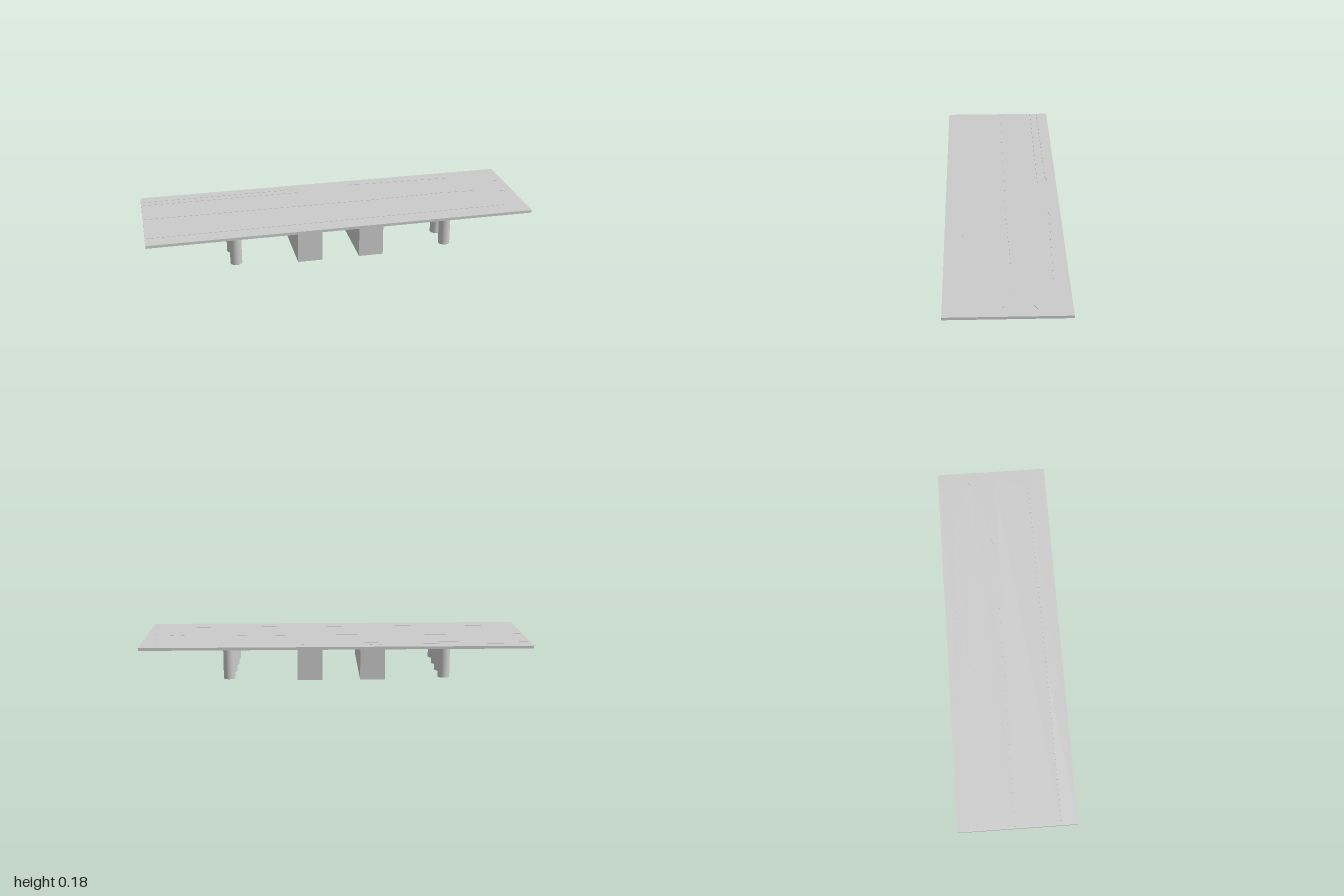
import * as THREE from 'three';

const TOP = 0.178, UNDER = 0.164, GROOVE = 0.004;
const HALF_DEPTH = 0.298;

export function createModel() {
  const group = new THREE.Group();
  const mat = new THREE.MeshStandardMaterial({ color: 0xcccccc });
  const add = (name, geometry, x, y, z) => {
    const mesh = new THREE.Mesh(geometry, mat);
    mesh.name = name;
    mesh.position.set(x, y, z);
    group.add(mesh);
  };

  // Solid underside of the deck
  const slabH = TOP - GROOVE - UNDER;
  add('deckSlab', new THREE.BoxGeometry(2, slabH, HALF_DEPTH * 2), 0, UNDER + slabH / 2, 0);

  // Thin top skin, cut by narrow lengthwise grain grooves (points are x, z)
  const grooves = [
    [[-0.99, -0.235], [-0.24, -0.24], [-0.2, -0.247], [-0.16, -0.238]],
    [[-0.99, -0.195], [-0.14, -0.195]],
    [[0.13, -0.235], [0.17, -0.243], [0.22, -0.236], [0.72, -0.22]],
    [[-0.99, -0.014], [0.2, -0.012], [0.6, -0.025], [0.8, -0.015], [0.89, 0.006]],
    [[-0.99, 0.215], [-0.2, 0.21], [0.88, 0.2]],
    [[0.92, 0.02], [0.94, 0.018], [0.955, 0.03]],
    [[0.92, -0.12], [0.94, -0.132], [0.98, -0.13]],
  ];
  const skin = new THREE.Shape([
    new THREE.Vector2(-1, -HALF_DEPTH), new THREE.Vector2(1, -HALF_DEPTH),
    new THREE.Vector2(1, HALF_DEPTH), new THREE.Vector2(-1, HALF_DEPTH),
  ]);
  const w = 0.0015;
  for (const line of grooves) {
    const near = line.map(([x, z]) => new THREE.Vector2(x, -z - w));
    const far = line.map(([x, z]) => new THREE.Vector2(x, -z + w)).reverse();
    skin.holes.push(new THREE.Path([...near, ...far]));
  }
  const skinGeo = new THREE.ExtrudeGeometry(skin, { depth: GROOVE, bevelEnabled: false });
  skinGeo.rotateX(-Math.PI / 2);
  add('deckTop', skinGeo, 0, TOP - GROOVE, 0);

  // Two solid cross beams
  for (const x of [-0.182, 0.137]) {
    add('crossBeam', new THREE.BoxGeometry(0.126, UNDER, 0.552), x, UNDER / 2, 0.004);
  }

  // A row of four round posts near each end
  for (const x of [-0.553, 0.55]) {
    for (const z of [-0.217, -0.072, 0.073, 0.217]) {
      add('post', new THREE.CylinderGeometry(0.03, 0.03, UNDER, 32), x, UNDER / 2, z);
    }
  }
  return group;
}
